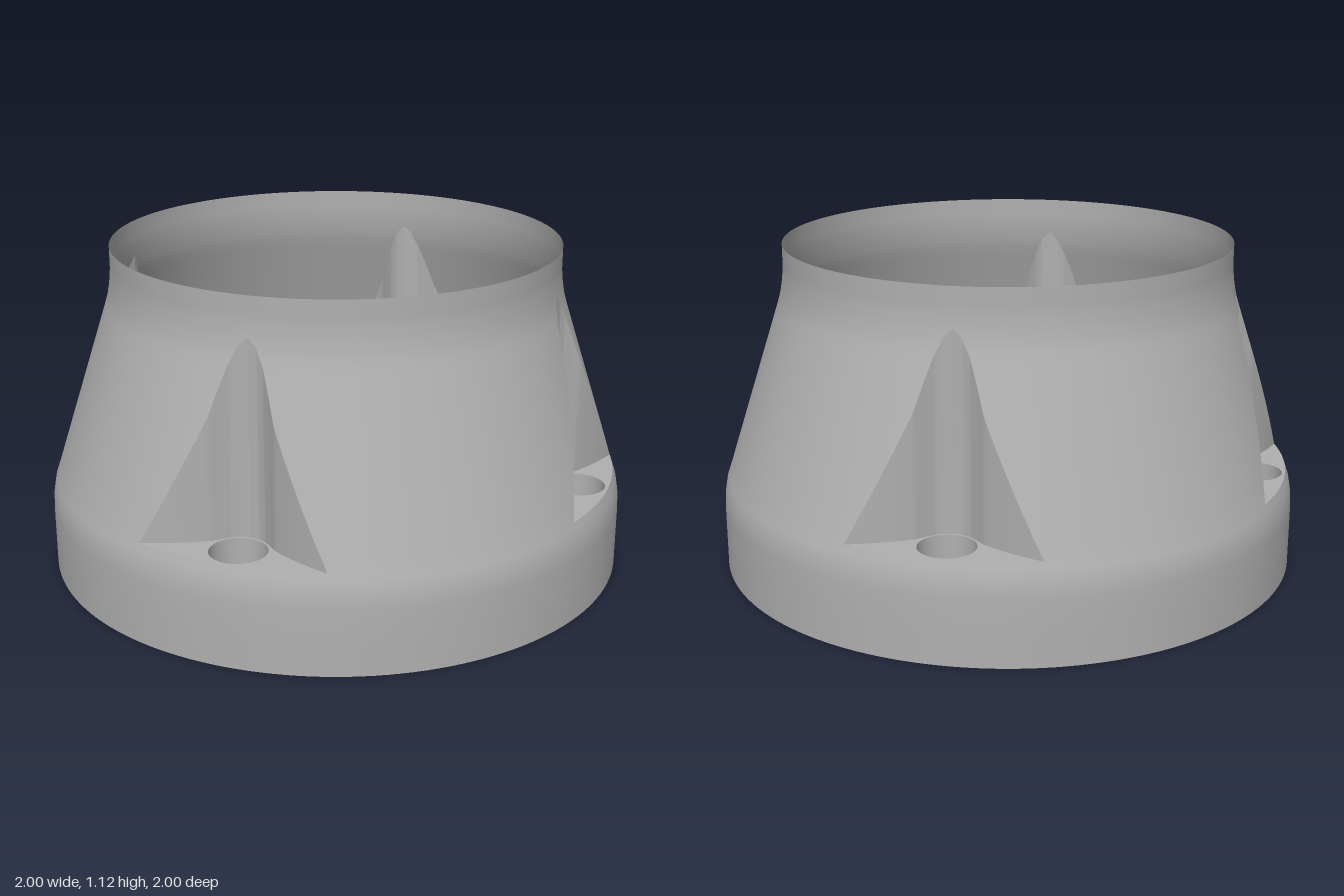
import * as THREE from 'three';

// Outer profile as [height, radius]
const PROFILE = [[0, 1], [0.2, 1], [0.25, 0.998], [0.295, 0.99], [0.335, 0.976], [0.91, 0.79],
  [0.945, 0.78], [0.99, 0.772], [1.04, 0.767], [1.12, 0.767]];
// Pocket half-angle at each radius, as [radius, angle]
const POCKET = [[0.772, 0], [0.777, 0.04], [0.79, 0.07], [0.815, 0.1], [0.845, 0.13],
  [0.888, 0.195], [0.976, 0.325]];
const FLOOR_Y = 0.335, APEX_Y = 0.99;
const BOLT_R = 0.872, HOLE_R = 0.093, SHAFT_R = 0.058;

function lookup(table, v) {
  let i = 0;
  while (i < table.length - 2 && v > table[i + 1][0]) i++;
  const [[x0, y0], [x1, y1]] = [table[i], table[i + 1]];
  return y0 + (y1 - y0) * THREE.MathUtils.clamp((v - x0) / (x1 - x0), 0, 1);
}
const radius = (y) => lookup(PROFILE, y);
const halfAngle = (r) => lookup(POCKET, r);

// Surface from a grid of points, rows running upward
function gridGeometry(rows, cols, point, normal) {
  const pos = [], nor = [], idx = [];
  for (let i = 0; i < rows; i++) {
    for (let j = 0; j < cols; j++) {
      pos.push(...point(i, j));
      if (normal) nor.push(...normal(i, j));
      if (i < rows - 1 && j < cols - 1) {
        const a = i * cols + j, b = a + cols;
        idx.push(a, b, a + 1, b, b + 1, a + 1);
      }
    }
  }
  const g = new THREE.BufferGeometry();
  g.setAttribute('position', new THREE.Float32BufferAttribute(pos, 3));
  g.setIndex(idx);
  if (normal) g.setAttribute('normal', new THREE.Float32BufferAttribute(nor, 3));
  else g.computeVertexNormals();
  return g;
}

// A quarter of the shell between two pockets, for the given heights
function shellBand(heights, opening) {
  const cols = 41;
  const theta = (i, j) => {
    const a = opening ? halfAngle(radius(heights[i])) : 0;
    return Math.PI / 4 + a + (Math.PI / 2 - 2 * a) * j / (cols - 1);
  };
  return gridGeometry(heights.length, cols,
    (i, j) => {
      const t = theta(i, j), r = radius(heights[i]);
      return [r * Math.cos(t), heights[i], r * Math.sin(t)];
    },
    (i, j) => {
      const t = theta(i, j), y = heights[i], e = 0.02;
      const slope = (radius(Math.min(y + e, 1.12)) - radius(Math.max(y - e, 0))) / (2 * e);
      return new THREE.Vector3(Math.cos(t), -slope, Math.sin(t)).normalize().toArray();
    });
}

export function createModel() {
  const model = new THREE.Group();
  model.name = 'mountingCollar';
  const grey = new THREE.MeshStandardMaterial({ color: 0xb0b0b0, side: THREE.DoubleSide });
  grey.name = 'grey';
  const add = (parent, name, geometry, y = 0, x = 0) => {
    const mesh = new THREE.Mesh(geometry, grey);
    mesh.name = name;
    mesh.position.set(x, y, 0);
    parent.add(mesh);
    return mesh;
  };

  // Heights through the pocket zone, closer together near the apex
  const N = 36;
  const pocketHeights = Array.from({ length: N + 1 }, (_, i) =>
    FLOOR_Y + (APEX_Y - FLOOR_Y) * (1 - (1 - i / N) ** 2));
  const lowerHeights = [0, 0.1, 0.2, 0.225, 0.25, 0.272, 0.295, 0.315, FLOOR_Y];
  const upperHeights = [APEX_Y, 1.01, 1.025, 1.04, 1.06, 1.12];
  const lower = shellBand(lowerHeights, false);
  const middle = shellBand(pocketHeights, true);
  const upper = shellBand(upperHeights, false);

  // Pocket plan curve: one rim, round the apex, to the other rim
  const half = pocketHeights.map((y) => {
    const r = radius(y), a = halfAngle(r);
    return { y, x: r * Math.cos(a), z: r * Math.sin(a) };
  });
  const plan = [...half, ...half.slice(0, -1).reverse().map((p) => ({ ...p, z: -p.z }))];
  const wall = gridGeometry(5, plan.length, (i, j) => {
    const p = plan[plan.length - 1 - j];
    return [p.x, FLOOR_Y + (p.y - FLOOR_Y) * i / 4, p.z];
  });

  // Pocket floor with a bolt hole
  const outline = new THREE.Shape(plan.map((p) => new THREE.Vector2(p.x, p.z)));
  const rimAngle = halfAngle(radius(FLOOR_Y));
  outline.absarc(0, 0, radius(FLOOR_Y), -rimAngle, rimAngle, false);
  outline.holes.push(new THREE.Path().absarc(BOLT_R, 0, HOLE_R, 0, Math.PI * 2, true));
  const floor = new THREE.ShapeGeometry(outline, 24).rotateX(-Math.PI / 2);

  // Stepped bolt hole
  const counterbore = new THREE.CylinderGeometry(HOLE_R, HOLE_R, 0.135, 40, 1, true);
  const step = new THREE.RingGeometry(SHAFT_R, HOLE_R, 40).rotateX(-Math.PI / 2);
  const shaft = new THREE.CylinderGeometry(SHAFT_R, SHAFT_R, 0.15, 32, 1, true);
  const shaftEnd = new THREE.CircleGeometry(SHAFT_R, 32).rotateX(-Math.PI / 2);

  for (let k = 0; k < 4; k++) {
    const quarter = new THREE.Group();
    quarter.name = `shellQuarter${k + 1}`;
    quarter.rotation.y = k * Math.PI / 2;
    add(quarter, 'baseBand', lower);
    add(quarter, 'taperedWall', middle);
    add(quarter, 'neck', upper);
    model.add(quarter);

    const pocket = new THREE.Group();
    pocket.name = `boltPocket${k + 1}`;
    pocket.rotation.y = Math.PI / 4 + k * Math.PI / 2;
    add(pocket, 'pocketWall', wall);
    add(pocket, 'pocketFloor', floor, FLOOR_Y);
    add(pocket, 'counterbore', counterbore, FLOOR_Y - 0.0675, BOLT_R);
    add(pocket, 'counterboreStep', step, 0.2, BOLT_R);
    add(pocket, 'boltShaft', shaft, 0.125, BOLT_R);
    add(pocket, 'shaftEnd', shaftEnd, 0.05, BOLT_R);
    model.add(pocket);
  }

  // Closed underside
  add(model, 'basePlate', new THREE.CircleGeometry(1, 160).rotateX(Math.PI / 2));
  return model;
}
